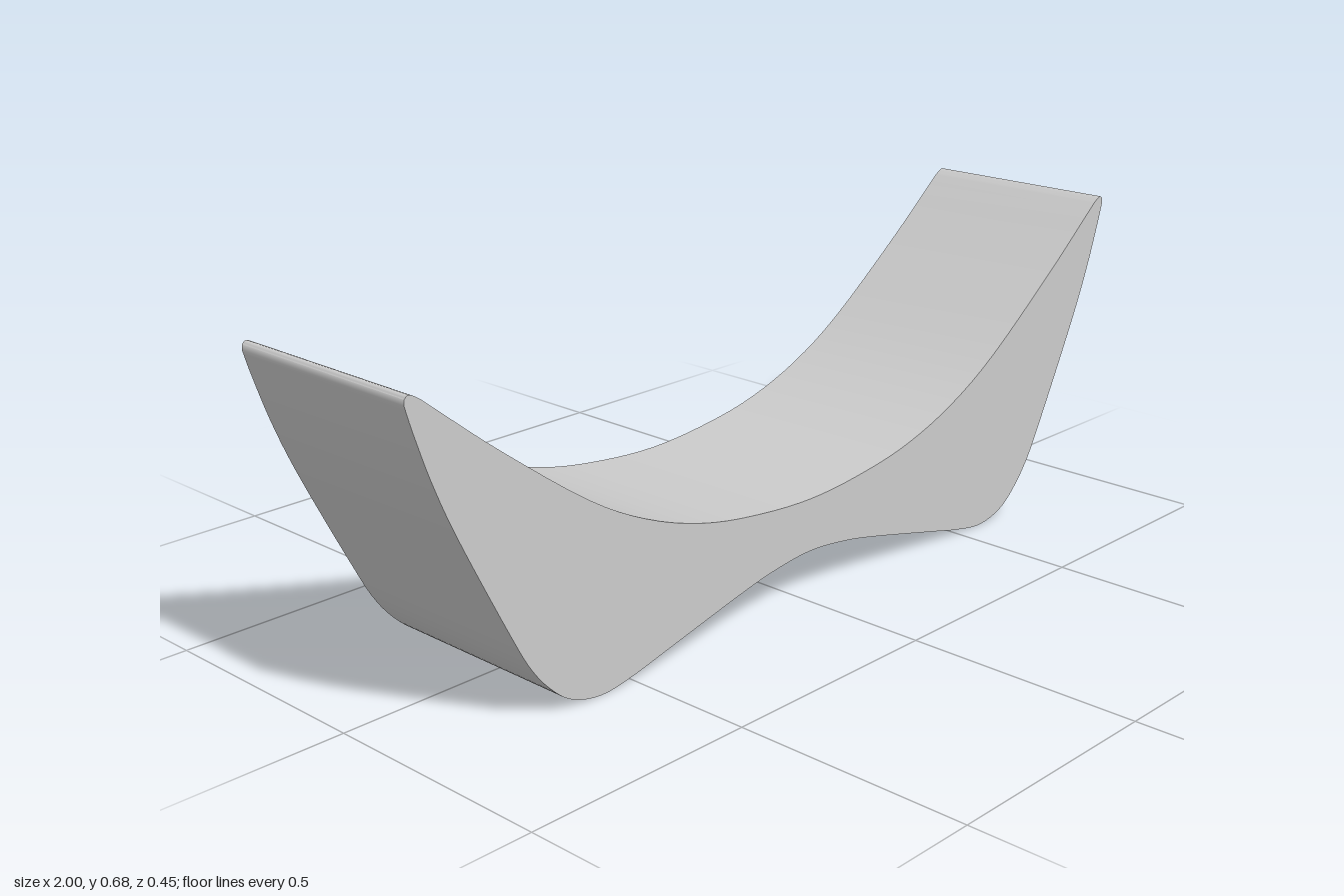
import * as THREE from 'three';
import { toCreasedNormals } from 'three/addons/utils/BufferGeometryUtils.js';

const WIDTH = 0.45;

// Half outlines on +x, from the middle to the tip
const upperHalf = [
  [0, 0.225], [0.15, 0.235], [0.3, 0.26], [0.45, 0.31], [0.6, 0.39],
  [0.8, 0.535], [0.94, 0.647], [0.97, 0.671], [0.99, 0.681], [0.999, 0.675],
];
const lowerHalf = [
  [0, 0.112], [0.1, 0.103], [0.2, 0.084], [0.4, 0.036], [0.5, 0.012], [0.58, 0.001],
  [0.65, 0.016], [0.7, 0.051], [0.75, 0.11], [0.8, 0.2], [0.9, 0.4],
  [0.95, 0.515], [0.985, 0.615], [1, 0.665],
];

// Mirrors a half outline into a full one running from -x to +x
function mirrored(half) {
  const right = half.map(([x, y]) => new THREE.Vector2(x, y));
  const left = half.slice(1).reverse().map(([x, y]) => new THREE.Vector2(-x, y));
  return [...left, ...right];
}

export function createModel() {
  const group = new THREE.Group();
  group.name = 'curvedRest';

  // Closed side profile: underside left to right, then top right to left
  const lower = mirrored(lowerHalf);
  const upper = mirrored(upperHalf).reverse();
  const profile = new THREE.Shape();
  profile.moveTo(lower[0].x, lower[0].y);
  profile.splineThru(lower.slice(1));
  profile.lineTo(upper[0].x, upper[0].y);
  profile.splineThru(upper.slice(1));
  profile.closePath();

  // Body: the profile swept straight from back to front
  const geometry = new THREE.ExtrudeGeometry(profile, {
    depth: WIDTH, bevelEnabled: false, curveSegments: 4,
  });
  geometry.translate(0, 0, -WIDTH / 2);
  const body = new THREE.Mesh(
    toCreasedNormals(geometry, Math.PI / 5),
    new THREE.MeshStandardMaterial({ color: 0xcccccc }),
  );
  body.name = 'cradleBody';
  group.add(body);
  return group;
}
